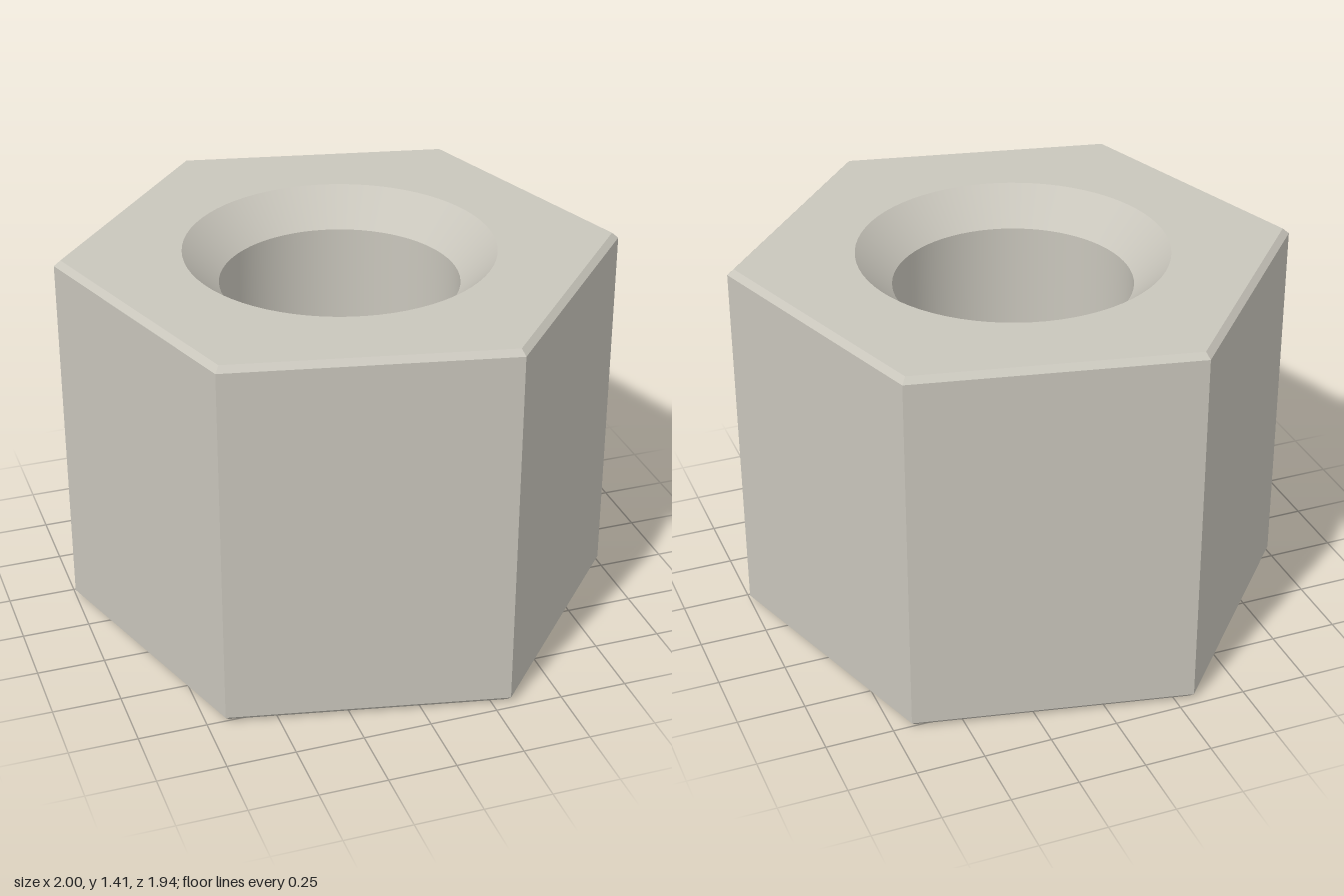
import * as THREE from 'three';

const HEIGHT = 1.415;
const CORNER_R = 1 / Math.cos(Math.PI / 15); // corners turned 12 degrees from the x axis
const TURN = Math.PI / 10;                   // same turn, measured from +z
const EDGE = 0.021;                          // small outer chamfer
const BORE_R = 0.437, MOUTH_R = 0.567, SINK = 0.13;

export function createModel() {
  const steel = new THREE.MeshStandardMaterial({ color: 0xc9c6bc });
  steel.name = 'warm grey metal';
  const nut = new THREE.Group();
  nut.name = 'hexNut';

  const add = (name, geometry) => {
    const mesh = new THREE.Mesh(geometry, steel);
    mesh.name = name;
    nut.add(mesh);
    return mesh;
  };
  const lathe = (profile, segments, start) =>
    new THREE.LatheGeometry(profile.map(p => new THREE.Vector2(...p)), segments, start);

  // Six flat sides with the chamfered top and bottom edges
  const innerR = CORNER_R - EDGE / Math.cos(Math.PI / 6);
  const sides = lathe([
    [innerR, 0], [CORNER_R, EDGE], [CORNER_R, HEIGHT - EDGE], [innerR, HEIGHT],
  ], 6, TURN).toNonIndexed();
  sides.computeVertexNormals();
  add('hexSides', sides);

  // Flat end faces: hexagon with a round opening
  const face = new THREE.Shape();
  for (let i = 0; i < 6; i++) {
    const a = TURN + i * Math.PI / 3;
    const x = innerR * Math.sin(a), z = innerR * Math.cos(a);
    if (i === 0) face.moveTo(x, -z); else face.lineTo(x, -z);
  }
  face.closePath();
  face.holes.push(new THREE.Path().absarc(0, 0, MOUTH_R, 0, Math.PI * 2, true));
  const top = new THREE.ShapeGeometry(face, 36).rotateX(-Math.PI / 2);
  add('topFace', top.translate(0, HEIGHT, 0));
  // The half turn about x mirrors z, and the hexagon's turn follows from a further flip
  const mirrored = new THREE.Shape(face.getPoints().map(p => new THREE.Vector2(p.x, -p.y)));
  mirrored.holes.push(new THREE.Path().absarc(0, 0, MOUTH_R, 0, Math.PI * 2, true));
  add('bottomFace', new THREE.ShapeGeometry(mirrored, 36).rotateX(Math.PI / 2));

  // Bore and its countersinks, profiles running downward so they face the axis
  add('topCountersink', lathe([[MOUTH_R, HEIGHT], [BORE_R, HEIGHT - SINK]], 72, 0));
  add('bore', lathe([[BORE_R, HEIGHT - SINK], [BORE_R, SINK]], 72, 0));
  add('bottomCountersink', lathe([[BORE_R, SINK], [MOUTH_R, 0]], 72, 0));

  return nut;
}
